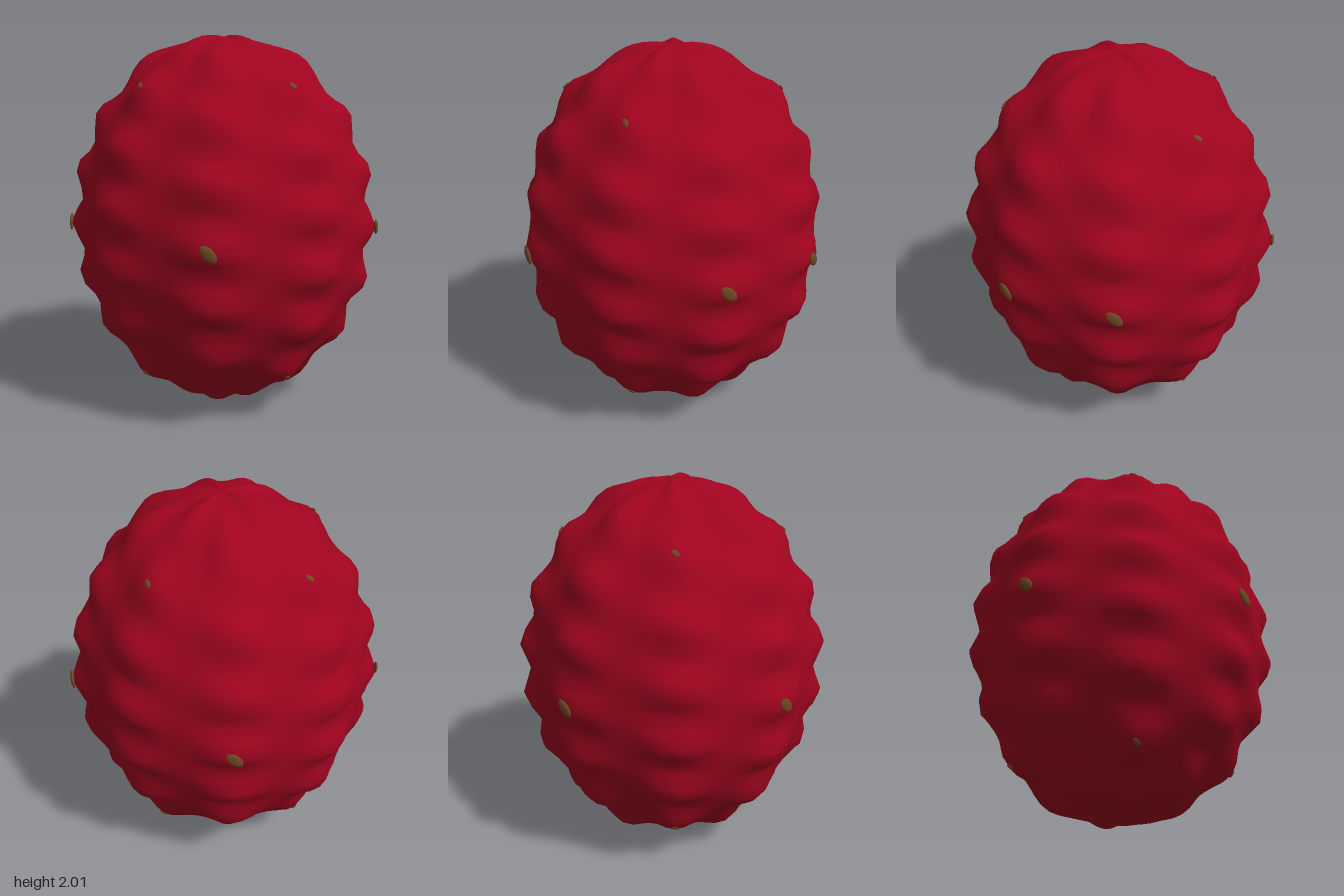
import * as THREE from 'three';
import { mergeVertices } from 'three/addons/utils/BufferGeometryUtils.js';

const RADIUS = 0.782, SHIFT = 0.025;

// Surface point for a compass angle (from +x towards +z) and a unit height -1..1:
// an egg with nine columns of bumps, every other column staggered by half a row,
// fading at the poles.
function surfacePoint(angle, h) {
  const ring = Math.sqrt(Math.max(0, 1 - h * h));
  const turn = angle < 0 ? angle + 2 * Math.PI : angle;
  const wave = Math.sin(4.5 * turn);
  const row = (1 + Math.sign(wave) * Math.cos(22 * h)) / 2;
  const r = 1 + 0.08 * Math.pow(ring, 0.8) * wave * wave * row;
  return new THREE.Vector3(
    Math.cos(angle) * ring * RADIUS * r + SHIFT,
    1 + h * r,
    Math.sin(angle) * ring * RADIUS * r
  );
}

export function createModel() {
  const model = new THREE.Group();
  model.name = 'berry';
  const berryRed = new THREE.MeshStandardMaterial({ color: 0xa0041f });
  berryRed.name = 'berry red';
  const seedBrown = new THREE.MeshStandardMaterial({ color: 0x6f4622 });
  seedBrown.name = 'seed brown';

  // Bumpy flesh
  let flesh = new THREE.SphereGeometry(1, 72, 48);
  const pos = flesh.attributes.position;
  for (let i = 0; i < pos.count; i++) {
    const p = surfacePoint(Math.atan2(pos.getZ(i), pos.getX(i)), THREE.MathUtils.clamp(pos.getY(i), -1, 1));
    pos.setXYZ(i, p.x, p.y, p.z);
  }
  flesh.deleteAttribute('uv');
  flesh.deleteAttribute('normal');
  flesh = mergeVertices(flesh, 1e-5);
  flesh.computeVertexNormals();
  const body = new THREE.Mesh(flesh, berryRed);
  body.name = 'flesh';
  model.add(body);

  // Slanted seeds, mostly sunk into the tips of the bumps
  const seedShape = new THREE.SphereGeometry(1, 16, 10);
  function addSeed(degrees, h, size) {
    const p = surfacePoint(THREE.MathUtils.degToRad(degrees), h);
    const outward = new THREE.Vector3(p.x - SHIFT, (p.y - 1) * RADIUS * RADIUS, p.z).normalize();
    const seed = new THREE.Mesh(seedShape, seedBrown);
    seed.name = 'seed';
    seed.position.copy(p);
    seed.lookAt(p.clone().add(outward));
    seed.rotateZ(-Math.PI / 4);
    seed.scale.set(0.052 * size, 0.03 * size, 0.011 * size);
    model.add(seed);
  }
  for (let i = 0; i < 5; i++) addSeed(20 + 80 * i, 0, 1);
  for (let i = 0; i < 4; i++) {
    addSeed(60 + 80 * i, 0.71, 0.45);
    addSeed(60 + 80 * i, -0.71, 0.45);
  }
  return model;
}
